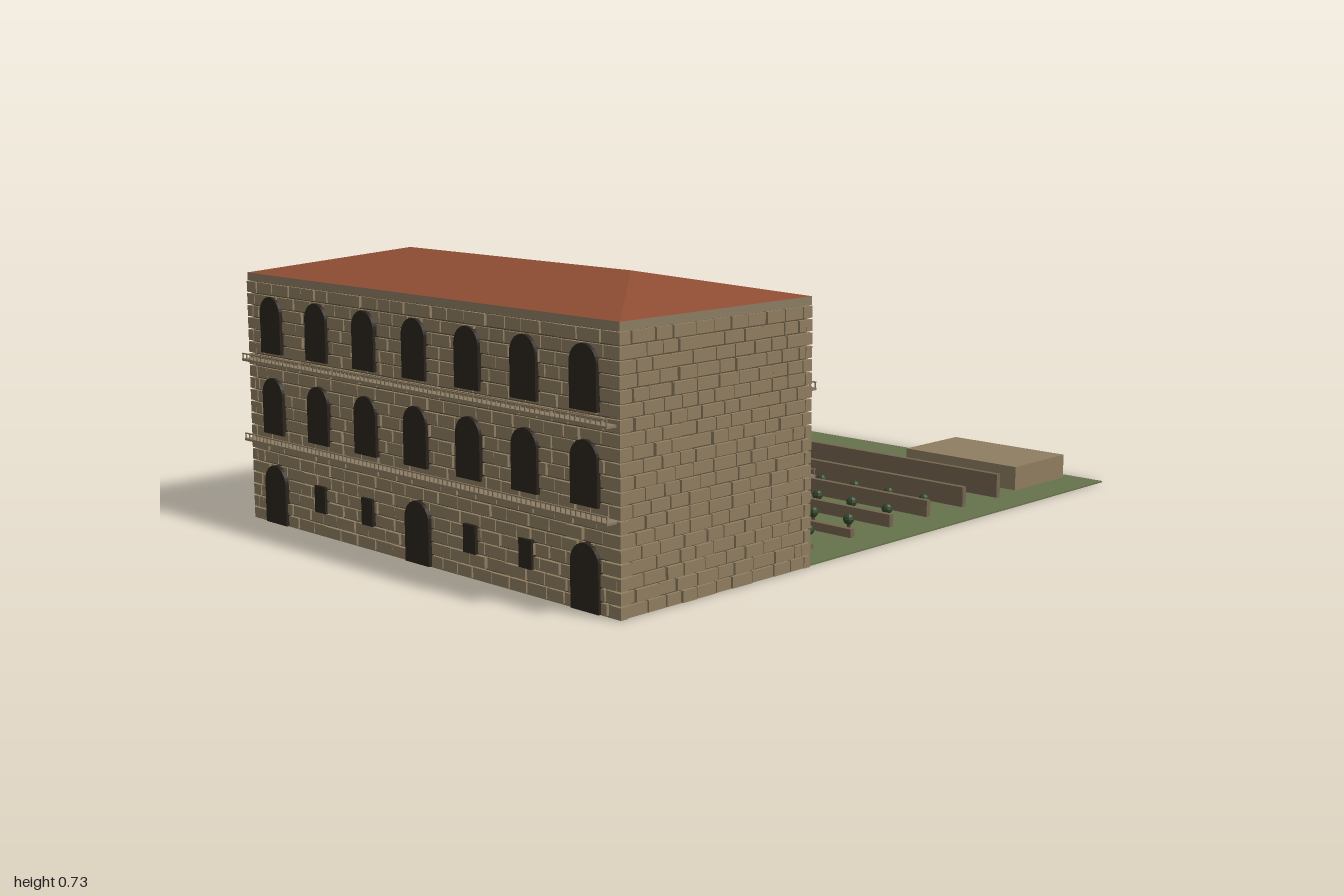
import * as THREE from 'three';
import { mergeGeometries } from 'three/addons/utils/BufferGeometryUtils.js';

const mat = (color, extra = {}) => new THREE.MeshStandardMaterial({ color, ...extra });
const M = {
  mortar: mat(0x5c503c), brick: mat(0x8f7d60), trim: mat(0x8c7d64), dark: mat(0x2a231d),
  roof: mat(0x8f4d34, { flatShading: true }), grass: mat(0x65734b), terrace: mat(0x75654f),
  pavilion: mat(0x8f7d60), leaf: mat(0x34472a, { flatShading: true }), trunk: mat(0x4f3c28),
};

const CZ = 0.65, HX = 0.70, HZ = 0.31, WALL_H = 0.645;

function seeded(seed) {
  return () => ((seed = (seed * 16807) % 2147483647) / 2147483647);
}

// Box geometry given by its limits
function span(x0, x1, y0, y1, z0, z1) {
  return new THREE.BoxGeometry(x1 - x0, y1 - y0, z1 - z0)
    .translate((x0 + x1) / 2, (y0 + y1) / 2, (z0 + z1) / 2);
}

function add(parent, name, geos, material) {
  const mesh = new THREE.Mesh(Array.isArray(geos) ? mergeGeometries(geos) : geos, material);
  mesh.name = name;
  parent.add(mesh);
  return mesh;
}

// Courses of irregular stones on a wall lying in the xy plane, facing +z
function stoneCourses(halfWidth, rand) {
  const rows = 20, h = WALL_H / rows, gap = 0.0022, out = [];
  for (let r = 0; r < rows; r++) {
    let x = -halfWidth;
    let first = true;
    while (x < halfWidth - 0.001) {
      let w = 0.048 + rand() * 0.03;
      if (first && r % 2) w *= 0.55;
      first = false;
      if (halfWidth - x - w < 0.025) w = halfWidth - x;
      const depth = 0.006 + rand() * 0.005;
      out.push(span(x + gap, x + w - gap, r * h + gap, (r + 1) * h - gap, -0.005, depth));
      x += w;
    }
  }
  return out;
}

// Round-headed opening standing on y0
function archPanel(x, y0, w, h) {
  const s = new THREE.Shape(), r = w / 2;
  s.moveTo(-r, 0);
  s.lineTo(r, 0);
  s.lineTo(r, h - r);
  s.absarc(0, h - r, r, 0, Math.PI, false);
  s.closePath();
  return new THREE.ExtrudeGeometry(s, { depth: 0.022, bevelEnabled: false, curveSegments: 8 })
    .translate(x, y0, -0.005);
}

// Long facade: stones, openings and two balconies
function facade(name, rand) {
  const g = new THREE.Group();
  g.name = name;
  add(g, 'facadeStones', stoneCourses(HX, rand), M.brick);
  const arches = [], small = [];
  for (let i = -3; i <= 3; i++) {
    const x = i * 0.2;
    arches.push(archPanel(x, 0.245, 0.088, 0.15), archPanel(x, 0.46, 0.088, 0.15));
    if (i % 3 === 0) arches.push(archPanel(x, 0.003, 0.092, 0.157));
    else small.push(span(x - 0.022, x + 0.022, 0.065, 0.135, -0.005, 0.017));
  }
  add(g, 'archedOpenings', arches, M.dark);
  add(g, 'smallWindows', small, M.dark);
  for (const y of [0.219, 0.434]) {
    const rails = [span(-HX, HX, y + 0.018, y + 0.021, 0.036, 0.04)];
    for (let i = 0; i <= 84; i++) {
      const x = -HX + 0.002 + i * (2 * HX - 0.004) / 84;
      rails.push(span(x - 0.0015, x + 0.0015, y + 0.005, y + 0.018, 0.0368, 0.0392));
    }
    add(g, 'balconySlab', span(-HX, HX, y, y + 0.006, 0, 0.04), M.trim);
    add(g, 'balconyRailing', rails, M.trim);
  }
  return g;
}

// Hipped roof from four slopes and an underside
function hipRoof() {
  const y0 = 0.666, y1 = 0.731, a = 0.71, b = 0.318, r = 0.42;
  const A = [-a, y0, b], B = [a, y0, b], C = [a, y0, -b], D = [-a, y0, -b];
  const L = [-r, y1, 0], R = [r, y1, 0];
  const tris = [A, B, R, A, R, L, B, C, R, C, D, L, C, L, R, D, A, L, A, D, C, A, C, B];
  const geo = new THREE.BufferGeometry();
  geo.setAttribute('position', new THREE.Float32BufferAttribute(tris.flat(), 3));
  geo.computeVertexNormals();
  return geo;
}

function building() {
  const g = new THREE.Group();
  g.name = 'building';
  g.position.z = CZ;
  const rand = seeded(4711);
  add(g, 'wallCore', span(-HX, HX, 0, WALL_H, -HZ, HZ), M.mortar);

  const front = facade('frontFacade', rand);
  front.position.z = HZ;
  const back = facade('backFacade', rand);
  back.position.z = -HZ;
  back.rotation.y = Math.PI;
  g.add(front, back);

  for (const side of [-1, 1]) {
    const end = add(g, side > 0 ? 'leftEndStones' : 'rightEndStones', stoneCourses(HZ, rand), M.brick);
    end.position.x = side * HX;
    end.rotation.y = side * Math.PI / 2;
  }

  // Corner stones alternate long and short
  const quoins = [];
  for (const sx of [-1, 1]) for (const sz of [-1, 1]) {
    for (let i = 0; i < 20; i++) {
      const h = WALL_H / 20, w = i % 2 ? 0.022 : 0.032, d = 0.054 - w;
      quoins.push(new THREE.BoxGeometry(w, h - 0.004, d)
        .translate(sx * (HX + 0.011 - w / 2), (i + 0.5) * h, sz * (HZ + 0.01 - d / 2)));
    }
  }
  add(g, 'cornerStones', quoins, M.brick);
  add(g, 'cornice', span(-0.71, 0.71, WALL_H, 0.666, -0.318, 0.318), M.trim);
  add(g, 'roof', hipRoof(), M.roof);
  return g;
}

function garden() {
  const g = new THREE.Group();
  g.name = 'garden';
  add(g, 'lawn', span(-0.7, 0.7, 0, 0.004, -1, 0.965), M.grass);
  const walls = [], leaves = [], trunks = [];
  for (let row = 0; row < 6; row++) {
    const z = 0.2 - row * 0.162;
    walls.push(span(-0.61, 0.605, 0.001, 0.016 + row * 0.011, z - 0.008, z + 0.008));
    for (let i = 0; i < 10; i++) {
      const x = -0.557 + i * 0.122, pz = z - 0.063;
      leaves.push(new THREE.SphereGeometry(0.015, 8, 6).translate(x, 0.032, pz));
      trunks.push(new THREE.CylinderGeometry(0.004, 0.005, 0.025, 6).translate(x, 0.0135, pz));
    }
  }
  add(g, 'terraceWalls', walls, M.terrace);
  add(g, 'treeCrowns', leaves, M.leaf);
  add(g, 'treeTrunks', trunks, M.trunk);
  add(g, 'gardenPavilion', span(0.197, 0.588, 0.001, 0.072, -0.965, -0.718), M.pavilion);
  return g;
}

export function createModel() {
  const model = new THREE.Group();
  model.name = 'villaWithGarden';
  model.add(building(), garden());
  return model;
}
